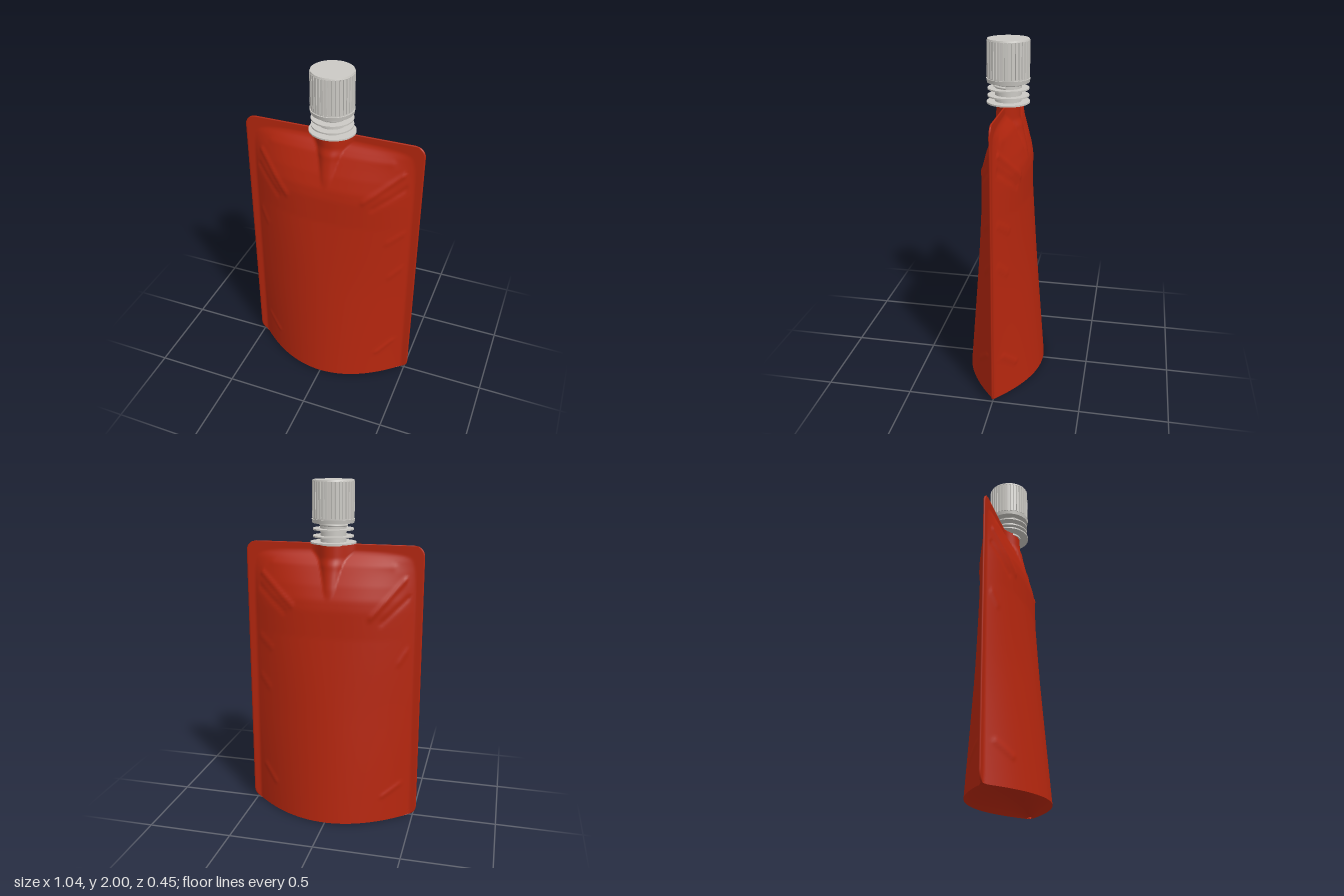
import * as THREE from 'three';

const HEIGHT = 1.65, HALF_W = 0.52, CORNER = 0.06, SEAL = 0.004;
const COLS = 110, ROWS = 120;

// Smooth interpolation through [y, value] pairs
function sample(table, y) {
  if (y <= table[0][0]) return table[0][1];
  for (let i = 1; i < table.length; i++) {
    const [y0, v0] = table[i - 1], [y1, v1] = table[i];
    if (y <= y1) return v0 + (v1 - v0) * (y - y0) / (y1 - y0);
  }
  return table[table.length - 1][1];
}

const bodyDepth = [[0, 0.225], [1.12, 0.13], [1.28, 0.125], [1.34, 0.117], [1.42, 0.093],
  [1.5, 0.062], [1.56, 0.032], [1.59, 0.012], [1.61, SEAL]];
const spoutDepth = [[1.3, 0.122], [1.4, 0.108], [1.5, 0.086], [1.57, 0.068], [1.65, 0.065]];

// Creases in the film: x0, y0, x1, y1, height, width
const creases = [
  [0.22, 1.3, 0.44, 1.49, 0.007, 0.014], [0.27, 1.26, 0.45, 1.4, -0.005, 0.014],
  [-0.24, 1.25, -0.42, 1.46, 0.007, 0.014], [-0.3, 1.22, -0.44, 1.36, -0.005, 0.014],
  [0.36, 1.03, 0.44, 1.09, 0.004, 0.014], [0.38, 0.78, 0.44, 0.84, 0.004, 0.014],
  [-0.4, 0.98, -0.44, 1.05, 0.004, 0.014], [0.34, 0.18, 0.42, 0.26, 0.005, 0.014],
  [-0.33, 0.16, -0.42, 0.22, 0.005, 0.014], [-0.35, 1.53, 0.35, 1.53, 0.003, 0.02],
];

function creaseHeight(x, y) {
  let h = 0;
  for (const [x0, y0, x1, y1, a, w] of creases) {
    const dx = x1 - x0, dy = y1 - y0;
    const t = THREE.MathUtils.clamp(((x - x0) * dx + (y - y0) * dy) / (dx * dx + dy * dy), 0, 1);
    const d2 = (x - x0 - t * dx) ** 2 + (y - y0 - t * dy) ** 2;
    h += a * Math.exp(-d2 / (w * w));
  }
  return h;
}

// Half thickness of the pouch at a point of its face
function depth(x, y) {
  const u = Math.min(1, Math.abs(x) / 0.48);
  const power = 2 + 0.7 * THREE.MathUtils.smoothstep(y, 0.6, 1.5);
  const film = sample(bodyDepth, y) * (1 - u ** power);
  const bulge = y > 1.3 ? sample(spoutDepth, y) * Math.exp(-((Math.abs(x) / 0.085) ** 2.6)) : 0;
  const d = Math.max(film, bulge);
  const wrinkle = d > 0.02 ? creaseHeight(x, y) : 0;
  return Math.max(SEAL, d + wrinkle);
}

// Half width, with rounded corners
function halfWidth(y) {
  const e = Math.min(y, HEIGHT - y);
  if (e >= CORNER) return HALF_W;
  return HALF_W - CORNER + Math.sqrt(Math.max(0, CORNER ** 2 - (CORNER - e) ** 2));
}

function meshGrid(rows, closed) {
  const n = rows[0].length, index = [];
  for (let r = 0; r < rows.length - 1; r++) {
    for (let j = 0; j < (closed ? n : n - 1); j++) {
      const k = (j + 1) % n;
      const a = r * n + j, b = r * n + k, c = (r + 1) * n + k, d = (r + 1) * n + j;
      index.push(a, b, c, a, c, d);
    }
  }
  const geo = new THREE.BufferGeometry();
  geo.setAttribute('position', new THREE.Float32BufferAttribute(rows.flat(2), 3));
  geo.setIndex(index);
  geo.computeVertexNormals();
  return geo;
}

// Front and back film as one loft of closed loops
function pouchGeometry() {
  const rows = [];
  for (let r = 0; r <= ROWS; r++) {
    const s = r / ROWS;
    const y = HEIGHT * (0.35 * s + 0.65 * (0.5 - 0.5 * Math.cos(Math.PI * s)));
    const w = halfWidth(y), loop = [];
    for (const side of [1, -1]) {
      for (let i = 0; i <= COLS; i++) {
        const x = side * w * (2 * i / COLS - 1);
        loop.push([x, y, side * depth(x, y)]);
      }
    }
    rows.push(loop);
  }
  rows.push(rows[ROWS].map(([x, y]) => [x, y, 0])); // closes the top seal
  return meshGrid(rows, true);
}

// Base film folded up between the two faces
function gussetGeometry() {
  const rows = [], w = halfWidth(0);
  for (let k = 0; k <= 24; k++) {
    const t = k / 12 - 1, row = [];
    for (let i = 0; i <= COLS; i++) {
      const x = w * (2 * i / COLS - 1), d = depth(x, 0);
      row.push([x, 0.12 * (d / 0.225) * (1 - t * t), d * t]);
    }
    rows.push(row);
  }
  return meshGrid(rows, false);
}

// Ribbed outline of the cap grip
function ribbedGeometry(outer, inner, teeth, height) {
  const pts = [], step = Math.PI * 2 / teeth;
  for (let i = 0; i < teeth; i++) {
    for (const [f, r] of [[0, outer], [0.35, outer], [0.7, outer], [0.78, inner], [0.92, inner]]) {
      const a = (i + f) * step;
      pts.push(new THREE.Vector2(r * Math.cos(a), r * Math.sin(a)));
    }
  }
  const geo = new THREE.ExtrudeGeometry(new THREE.Shape(pts), { depth: height, bevelEnabled: false });
  return geo.rotateX(-Math.PI / 2);
}

export function createModel() {
  const red = new THREE.MeshStandardMaterial({ color: 0xb5260e, side: THREE.DoubleSide });
  red.name = 'red film';
  const grey = new THREE.MeshStandardMaterial({ color: 0xcbc9c4 });
  grey.name = 'light grey plastic';

  const model = new THREE.Group();
  model.name = 'spoutedPouch';
  const add = (name, geo, mat, y = 0) => {
    const mesh = new THREE.Mesh(geo, mat);
    mesh.name = name;
    mesh.position.y = y;
    model.add(mesh);
    return mesh;
  };
  const disc = (r, h, top = r) => new THREE.CylinderGeometry(top, r, h, 64);

  // Pouch
  add('pouchFilm', pouchGeometry(), red);
  add('baseGusset', gussetGeometry(), red);

  // Spout: neck, flanges and thread
  add('neck', disc(0.074, 0.15), grey, 1.715);
  add('baseFlange', disc(0.12, 0.009), grey, 1.655).scale.x = 1.09;
  add('middleFlange', disc(0.116, 0.008), grey, 1.69);
  add('upperFlange', disc(0.116, 0.008), grey, 1.73);
  const helix = [];
  for (let i = 0; i <= 48; i++) {
    const a = i / 48 * Math.PI * 3;
    helix.push(new THREE.Vector3(0.076 * Math.cos(a), 1.742 + 0.026 * i / 48, 0.076 * Math.sin(a)));
  }
  add('thread', new THREE.TubeGeometry(new THREE.CatmullRomCurve3(helix), 96, 0.007, 6), grey);

  // Cap: tamper ring, ribbed grip and top plate
  add('tamperRing', disc(0.118, 0.022, 0.122), grey, 1.776);
  add('capCollar', disc(0.115, 0.01), grey, 1.79);
  add('capGrip', ribbedGeometry(0.119, 0.113, 36, 0.2), grey, 1.792);
  add('capTop', disc(0.118, 0.01, 0.115), grey, 1.995);
  return model;
}
